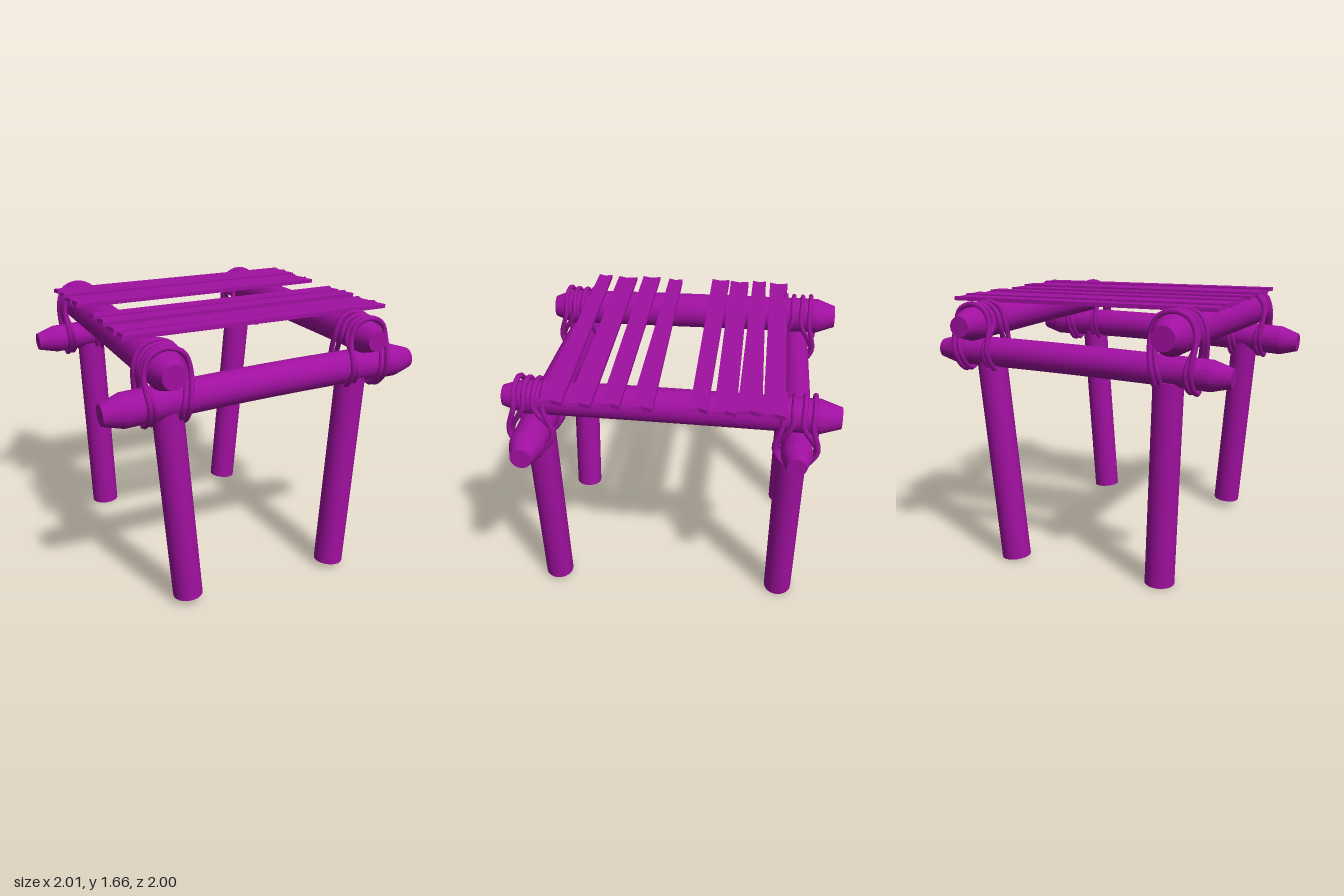
import * as THREE from 'three';
import { toCreasedNormals } from 'three/addons/utils/BufferGeometryUtils.js';

const V = (x, y, z) => new THREE.Vector3(x, y, z);
const material = new THREE.MeshStandardMaterial({ color: 0xa010a0, side: THREE.DoubleSide });

// Round log from a to b: optional tapered ends and a slight vertical bow
function log(name, a, b, r, { taper = 0, bow = 0 } = {}) {
  const dir = b.clone().sub(a), len = dir.length();
  const profile = [[0, 0]];
  if (taper) profile.push([r * 0.62, 0]);
  const steps = bow ? 8 : 1;
  for (let i = 0; i <= steps; i++) profile.push([r, taper + (len - 2 * taper) * i / steps]);
  if (taper) profile.push([r * 0.62, len]);
  profile.push([0, len]);
  const geo = new THREE.LatheGeometry(profile.map(([x, y]) => new THREE.Vector2(x, y)), 20);
  const q = new THREE.Quaternion().setFromUnitVectors(V(0, 1, 0), dir.normalize());
  const pos = geo.attributes.position, p = V(0, 0, 0);
  for (let i = 0; i < pos.count; i++) {
    p.fromBufferAttribute(pos, i);
    const t = 2 * p.y / len - 1;
    p.applyQuaternion(q).add(a);
    p.y += bow * (1 - t * t);
    pos.setXYZ(i, p.x, p.y, p.z);
  }
  const mesh = new THREE.Mesh(toCreasedNormals(geo, 0.4), material);
  mesh.name = name;
  return mesh;
}

// Flat slat with notched ends: l and r are [x, back z, front z]
function slat(l, r, y) {
  const shape = new THREE.Shape([
    [l[0], l[1]], [l[0] + 0.02, (l[1] + l[2]) / 2], [l[0], l[2]],
    [r[0], r[2]], [r[0] - 0.02, (r[1] + r[2]) / 2], [r[0], r[1]],
  ].map(([x, z]) => new THREE.Vector2(x, -z)));
  const geo = new THREE.ExtrudeGeometry(shape, { depth: 0.024, bevelEnabled: false });
  geo.rotateX(-Math.PI / 2);
  const mesh = new THREE.Mesh(geo, material);
  mesh.position.y = y;
  mesh.name = 'slat';
  return mesh;
}

// Rope loop: over the side rail, down, and under the cross rail on both sides
function ropeLoop(side, rs, cross, rc, d, w) {
  const { x: cx, y: ys } = side, { y: yc, z: cz } = cross;
  const half = s => [
    V(cx, ys + rs, cz + s * d),
    V(cx + 0.72 * rs, ys + 0.72 * rs, cz + s * d),
    V(cx + rs, ys, cz + s * d),
    V(cx + w, yc, cz + s * rc),
  ];
  const right = [...half(1), V(cx + w, yc - rc, cz), ...half(-1).reverse()];
  const left = right.slice(1, -1).reverse().map(p => V(2 * cx - p.x, p.y, p.z));
  const curve = new THREE.CatmullRomCurve3([...right, ...left], true);
  const mesh = new THREE.Mesh(new THREE.TubeGeometry(curve, 80, 0.016, 7, true), material);
  mesh.name = 'ropeLoop';
  return mesh;
}

export function createModel() {
  const model = new THREE.Group();

  // Legs, splayed outward toward the top
  model.add(
    log('frontLeftLeg', V(0.5, 0.04, 0.78), V(0.59, 1.29, 0.77), 0.09),
    log('frontRightLeg', V(-0.5, 0.055, 0.82), V(-0.605, 1.27, 0.805), 0.09),
    log('backLeftLeg', V(0.405, 0.02, -0.725), V(0.53, 1.3, -0.74), 0.09),
    log('backRightLeg', V(-0.58, 0.01, -0.69), V(-0.625, 1.25, -0.70), 0.09),
  );

  // Cross rails run left to right, side rails rest on top of them
  const cross = [
    { name: 'frontRail', a: V(-0.99, 1.28, 0.82), b: V(1, 1.345, 0.755), r: 0.1, bow: 0.02 },
    { name: 'backRail', a: V(-1, 1.29, -0.68), b: V(0.855, 1.35, -0.775), r: 0.09, bow: 0.01 },
  ];
  const sides = [
    { name: 'leftSideRail', a: V(0.575, 1.52, -1), b: V(0.65, 1.535, 0.945), r: 0.1, bow: 0.005 },
    { name: 'rightSideRail', a: V(-0.69, 1.525, -0.95), b: V(-0.625, 1.495, 0.99), r: 0.115, bow: 0.005 },
  ];
  for (const c of [...cross, ...sides]) model.add(log(c.name, c.a, c.b, c.r, { taper: 0.12, bow: c.bow }));

  // Lashings where the rails meet
  for (const c of cross) for (const s of sides) {
    const sc = s.a.clone().lerp(s.b, (c.a.z - s.a.z) / (s.b.z - s.a.z));
    const cc = c.a.clone().lerp(c.b, (sc.x - c.a.x) / (c.b.x - c.a.x));
    cc.y += c.bow * 0.6;
    const lashing = new THREE.Group();
    lashing.name = 'lashing';
    lashing.add(
      ropeLoop(sc, s.r + 0.012, cc, c.r + 0.022, 0.03, 0.08),
      ropeLoop(sc, s.r + 0.018, cc, c.r + 0.028, 0.085, 0.115),
    );
    model.add(lashing);
  }

  // Slats in two groups of four with a gap between
  const slats = [
    [[-0.88, -0.61, -0.49], [0.83, -0.69, -0.57]],
    [[-0.875, -0.46, -0.37], [0.83, -0.565, -0.43]],
    [[-0.87, -0.34, -0.215], [0.84, -0.425, -0.305]],
    [[-0.86, -0.205, -0.085], [0.845, -0.27, -0.175]],
    [[-0.84, 0.125, 0.22], [0.865, 0.025, 0.145]],
    [[-0.835, 0.285, 0.405], [0.875, 0.205, 0.31]],
    [[-0.825, 0.45, 0.58], [0.88, 0.365, 0.495]],
    [[-0.82, 0.63, 0.72], [0.89, 0.525, 0.65]],
  ];
  slats.forEach(([l, r], i) => model.add(slat(l, r, 1.637 + 0.008 * (i % 2))));

  return model;
}
